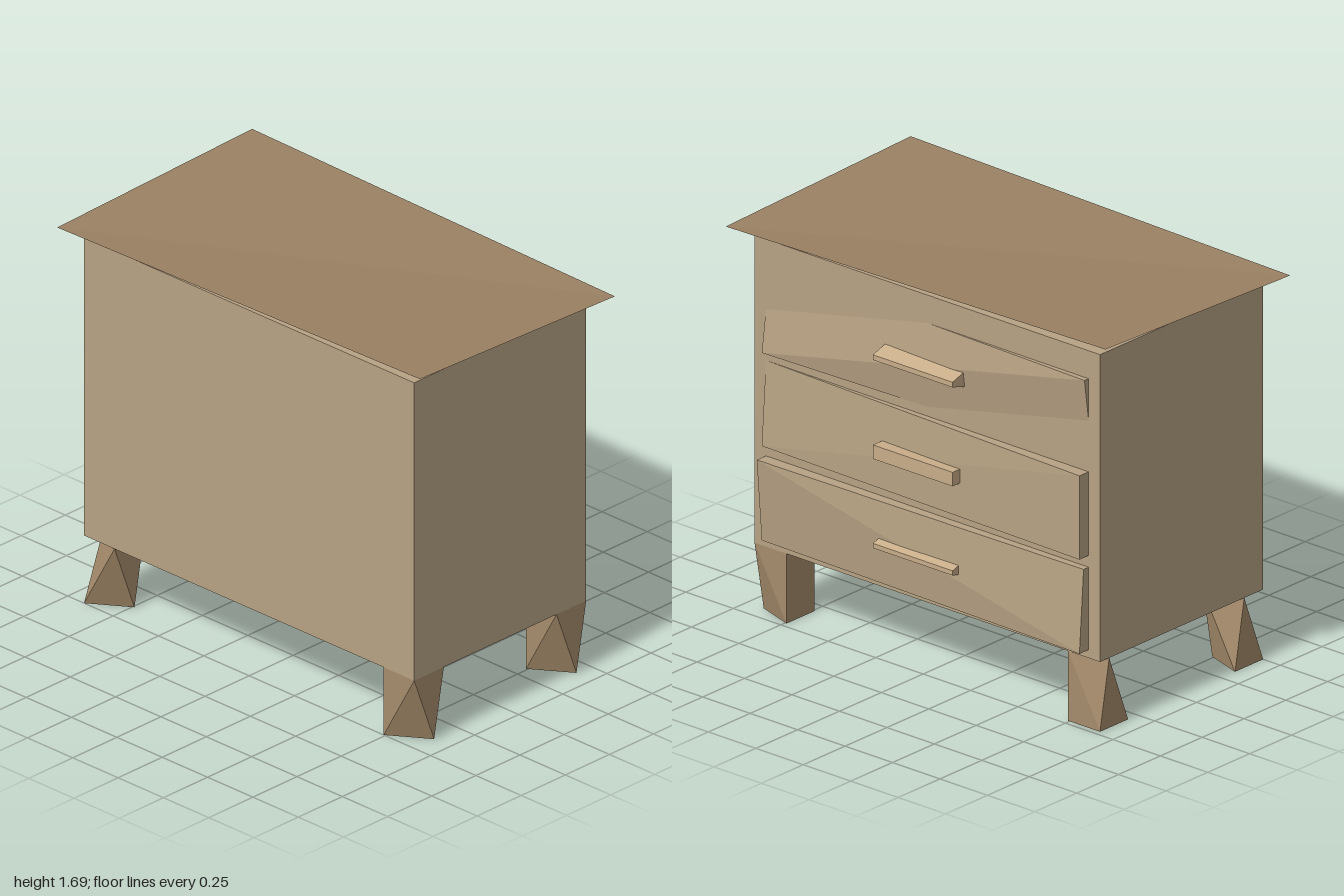
import * as THREE from 'three';
import { ConvexGeometry } from 'three/addons/geometries/ConvexGeometry.js';

const paint = (color, side = THREE.FrontSide) =>
  new THREE.MeshStandardMaterial({ color, side, flatShading: true });

export function createModel() {
  const model = new THREE.Group();
  const bodyMat = paint(0xb8a384);
  const legMat = paint(0xa78d6d);
  const handleMat = paint(0xc9ae8a);
  const topMat = paint(0x9b8164, THREE.DoubleSide);

  const add = (name, geometry, material) => {
    const mesh = new THREE.Mesh(geometry, material);
    mesh.name = name;
    model.add(mesh);
    return mesh;
  };
  // Faceted solid from its corner points
  const solid = (name, corners, material) =>
    add(name, new ConvexGeometry(corners.map((c) => new THREE.Vector3(...c))), material);

  const X = 0.91, BACK = -0.475, FRONT = 0.5, BASE = 0.3;

  // Cabinet body
  add('body', new THREE.BoxGeometry(2 * X, 1.32, FRONT - BACK), bodyMat)
    .position.set(0, 0.96, (FRONT + BACK) / 2);

  // Thin warped top, floating just above the body, folded along its low diagonal
  const a = [-1, 1.655, 0.56], b = [1, 1.69, 0.56];
  const c = [1, 1.655, -0.545], d = [-1, 1.69, -0.545];
  const top = new THREE.BufferGeometry();
  top.setAttribute('position', new THREE.Float32BufferAttribute([a, b, c, a, c, d].flat(), 3));
  top.computeVertexNormals();
  add('top', top, topMat);

  // Legs: each end is a square or a triangle pointing to the outer or inner side
  const W = 0.168;
  const ring = (shape, side, z, y) => {
    const outer = side * X, inner = side * (X - W), tip = z + 0.055;
    if (shape === 'square')
      return [[outer, y, z], [outer, y, z + W], [inner, y, z], [inner, y, z + W]];
    const [point, edge] = shape === 'outer' ? [outer, inner] : [inner, outer];
    return [[point, y, tip], [edge, y, z], [edge, y, z + W]];
  };
  const legs = [
    ['frontLeftLeg', 1, FRONT - W, 'square', 'outer'],
    ['backLeftLeg', 1, BACK, 'square', 'outer'],
    ['frontRightLeg', -1, FRONT - W, 'outer', 'inner'],
    ['backRightLeg', -1, BACK, 'outer', 'square'],
  ];
  for (const [name, side, z, upper, lower] of legs)
    solid(name, [...ring(upper, side, z, BASE), ...ring(lower, side, z, 0)], legMat);

  // Crooked drawer fronts: how far each corner stands out
  // order: +x top, +x bottom, -x top, -x bottom
  const drawers = [
    ['upperDrawer', 1.14, 1.5, [-0.025, 0.025, 0.025, -0.025]],
    ['middleDrawer', 0.74, 1.1, [0, 0.025, 0.055, 0.055]],
    ['lowerDrawer', 0.335, 0.69, [0.055, 0.025, 0.03, 0.055]],
  ];
  for (const [name, y0, y1, out] of drawers) {
    const corners = [[0.85, y1], [0.85, y0], [-0.85, y1], [-0.85, y0]];
    solid(name, corners.flatMap(([x, y], i) =>
      [[x, y, BACK - out[i]], [x, y, BACK + 0.05]]), bodyMat);
  }

  // Handles: base heights at the drawer, narrower lip at the outer edge
  const handles = [
    ['upperHandle', 1.29, 1.355, 1.31, 1.332],
    ['middleHandle', 0.885, 0.945, 0.885, 0.945],
    ['lowerHandle', 0.485, 0.545, 0.502, 0.522],
  ];
  for (const [name, b0, b1, l0, l1] of handles)
    solid(name, [-0.21, 0.21].flatMap((x) =>
      [[x, b0, -0.49], [x, b1, -0.49], [x, l0, -0.562], [x, l1, -0.562]]), handleMat);

  return model;
}
